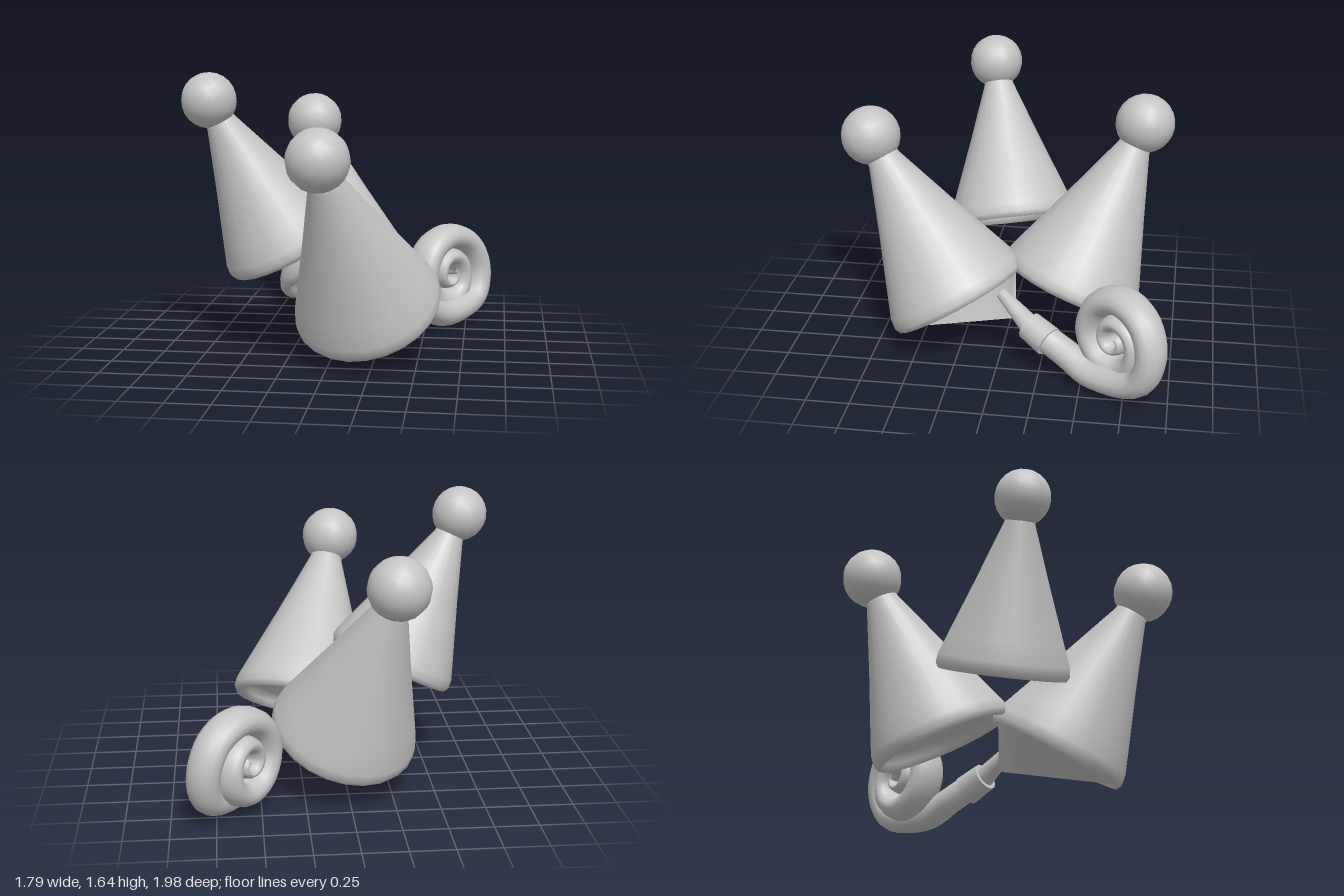
import * as THREE from 'three';

const grey = new THREE.MeshStandardMaterial({ color: 0xc4c4c4, side: THREE.DoubleSide });
grey.name = 'plainGrey';

const V = (x, y, z) => new THREE.Vector3(x, y, z);
const UP = V(0, 1, 0);

function addMesh(parent, name, geometry) {
  const mesh = new THREE.Mesh(geometry, grey);
  mesh.name = name;
  parent.add(mesh);
  return mesh;
}

// Grid of points joined into a smooth surface
function gridGeometry(rows, closed) {
  const n = rows[0].length, index = [];
  for (let i = 0; i < rows.length - 1; i++) {
    for (let j = 0; j < (closed ? n : n - 1); j++) {
      const a = i * n + j, b = i * n + ((j + 1) % n);
      index.push(a, b, a + n, b, b + n, a + n);
    }
  }
  const g = new THREE.BufferGeometry().setFromPoints(rows.flat());
  g.setIndex(index);
  g.computeVertexNormals();
  return g;
}

// Party hat: a cone with a rolled rim, a shallow recessed underside and a ball at the tip
function makeHat(name, ballCentre, rimCentre, rimRadius, ballRadius) {
  const hat = new THREE.Group();
  hat.name = name;
  const axis = ballCentre.clone().sub(rimCentre);
  const length = axis.length();
  const profile = [
    [0, 0.14], [0.8, 0.06], [0.85, 0.01], [0.9, -0.02], [0.96, -0.02],
    [1.0, 0.01], [0.985, 0.06], [0.88, 0.17], [0.56, 0.5], [0.235, 0.85], [0.2, 0.93], [0, 0.94],
  ].map(([r, h]) => new THREE.Vector2(r * rimRadius, h * length));
  addMesh(hat, 'hatCone', new THREE.LatheGeometry(profile, 24));
  addMesh(hat, 'hatBall', new THREE.SphereGeometry(ballRadius, 16, 12)).position.y = length;
  hat.position.copy(rimCentre);
  hat.quaternion.setFromUnitVectors(UP, axis.normalize());
  return hat;
}

// Loose flap hanging below the front hat, from its rim to a free edge
function makeFlap(ballCentre, rimCentre, radius, edgeEnd) {
  const a = ballCentre.clone().sub(rimCentre).normalize();
  const e1 = V(1, 0, 0).addScaledVector(a, -a.x).normalize();
  const e2 = a.clone().cross(e1);
  const rimPoint = (deg) => {
    const f = THREE.MathUtils.degToRad(deg);
    return rimCentre.clone().addScaledVector(e1, Math.cos(f) * radius).addScaledVector(e2, Math.sin(f) * radius);
  };
  const edgeStart = rimPoint(-65);
  const rows = [];
  for (let i = 0; i <= 14; i++) {
    rows.push([rimPoint(-65 - (190 * i) / 14), edgeStart.clone().lerp(edgeEnd, i / 14)]);
  }
  const flap = new THREE.Group();
  addMesh(flap, 'foldedFlap', gridGeometry(rows, false));
  return flap.children[0];
}

// Tapered cylinder between two points
function addRod(parent, name, a, b, ra, rb) {
  const d = b.clone().sub(a);
  const rod = addMesh(parent, name, new THREE.CylinderGeometry(rb, ra, d.length(), 14));
  rod.position.copy(a).add(b).multiplyScalar(0.5);
  rod.quaternion.setFromUnitVectors(UP, d.normalize());
}

// Sweep of an oval section along a curve, wide across the side direction
function sweep(curve, side, rings, sides, section) {
  const rows = [];
  for (let i = 0; i <= rings; i++) {
    const u = i / rings;
    const t = curve.getTangent(u);
    const n = t.clone().cross(side).normalize();
    const s = n.clone().cross(t).normalize();
    const [thick, wide] = section(u);
    rows.push(Array.from({ length: sides }, (_, j) => {
      const a = (j / sides) * Math.PI * 2;
      return curve.getPoint(u).addScaledVector(n, Math.cos(a) * thick).addScaledVector(s, -Math.sin(a) * wide);
    }));
  }
  return gridGeometry(rows, true);
}

// Party blower: mouthpiece, collar and a rolled-up paper tube
function makeBlower() {
  const blower = new THREE.Group();
  blower.name = 'partyBlower';
  addRod(blower, 'mouthpiece', V(0.27, 0.375, 0.0), V(0.42, 0.24, -0.2), 0.035, 0.065);
  addRod(blower, 'collar', V(0.405, 0.25, -0.18), V(0.485, 0.195, -0.305), 0.085, 0.092);

  const along = V(0.61, 0, -0.79), side = V(0.79, 0, 0.61), centre = V(0.645, 0.32, -0.735);
  const at = (t, y, n) => centre.clone().addScaledVector(along, t).addScaledVector(UP, y)
    .addScaledVector(side, n);
  const points = [V(0.46, 0.215, -0.27), at(-0.33, -0.175, 0.1), at(-0.14, -0.236, 0.085)];
  const radii = [0.241, 0.237, 0.238, 0.236, 0.234, 0.228, 0.21, 0.187, 0.16,
    0.138, 0.122, 0.108, 0.096, 0.086, 0.076, 0.065, 0.055, 0.045, 0.03];
  radii.forEach((r, i) => {
    const a = -Math.PI / 4 + (i * Math.PI) / 4;
    const shift = -0.035 * Math.min(1, i / 9);
    points.push(at(Math.cos(a) * r + shift, Math.sin(a) * r, Math.max(-0.02, 0.055 - 0.022 * i)));
  });
  const section = (u) => {
    const v = Math.max(0, (u - 0.42) / 0.58);
    return [0.08 - 0.052 * Math.min(1, v * 1.3), 0.08 + 0.035 * Math.min(1, u * 3) - 0.03 * v];
  };
  addMesh(blower, 'rolledTube', sweep(new THREE.CatmullRomCurve3(points), side, 110, 14, section));
  return blower;
}

export function createModel() {
  const model = new THREE.Group();
  model.name = 'partyHatsAndBlower';
  const frontBall = V(-0.005, 1.22, 0.82), frontRim = V(0.212, 0.312, 0.268);
  model.add(makeHat('frontHat', frontBall, frontRim, 0.43, 0.176));
  model.add(makeFlap(frontBall, frontRim, 0.39, V(0.33, 0.25, -0.09)));
  model.add(makeHat('rightHat', V(-0.725, 1.485, 0.18), V(-0.3, 0.618, 0.015), 0.382, 0.162));
  model.add(makeHat('backHat', V(-0.243, 1.292, -0.778), V(0.018, 0.345, -0.38), 0.425, 0.175));
  model.add(makeBlower());
  return model;
}
